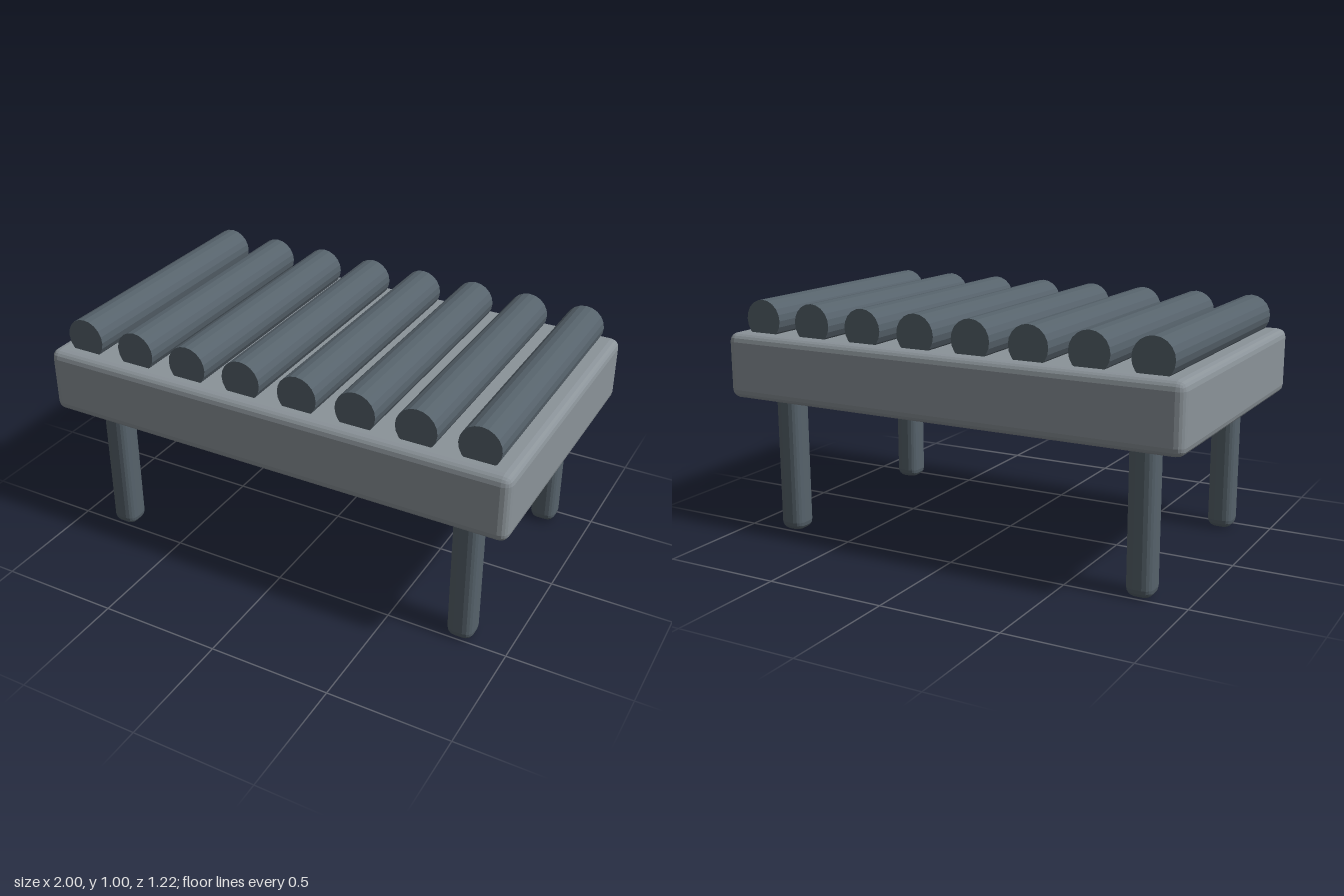
import * as THREE from 'three';
import { RoundedBoxGeometry } from 'three/addons/geometries/RoundedBoxGeometry.js';

export function createModel() {
  const model = new THREE.Group();
  model.name = 'rollerTable';
  const frameMaterial = new THREE.MeshStandardMaterial({ color: 0x8b9399, flatShading: true });
  const darkMaterial = new THREE.MeshStandardMaterial({ color: 0x56626b, flatShading: true });

  const add = (name, geometry, material, x, y, z) => {
    const mesh = new THREE.Mesh(geometry, material);
    mesh.name = name;
    mesh.position.set(x, y, z);
    model.add(mesh);
  };

  // Thick bed with softened edges
  add('bed', new RoundedBoxGeometry(2, 0.275, 1.22, 2, 0.037), frameMaterial, 0, 0.7225, 0);

  // Four legs, running up into the bed
  const legGeometry = new RoundedBoxGeometry(0.11, 0.66, 0.11, 2, 0.037);
  for (const [side, x] of [['left', 0.8], ['right', -0.8]]) {
    for (const [end, z] of [['Front', 0.45], ['Back', -0.45]]) {
      add(`${side}${end}Leg`, legGeometry, darkMaterial, x, 0.33, z);
    }
  }

  // Row of rollers lying front to back, partly sunk into the bed
  const rollerCount = 8;
  const rollerGeometry = new THREE.CylinderGeometry(0.083, 0.083, 1.09, 20).rotateX(Math.PI / 2);
  for (let i = 0; i < rollerCount; i++) {
    const x = (i - (rollerCount - 1) / 2) * 0.2445;
    add(`roller${i + 1}`, rollerGeometry, darkMaterial, x, 0.915, 0);
  }

  return model;
}
